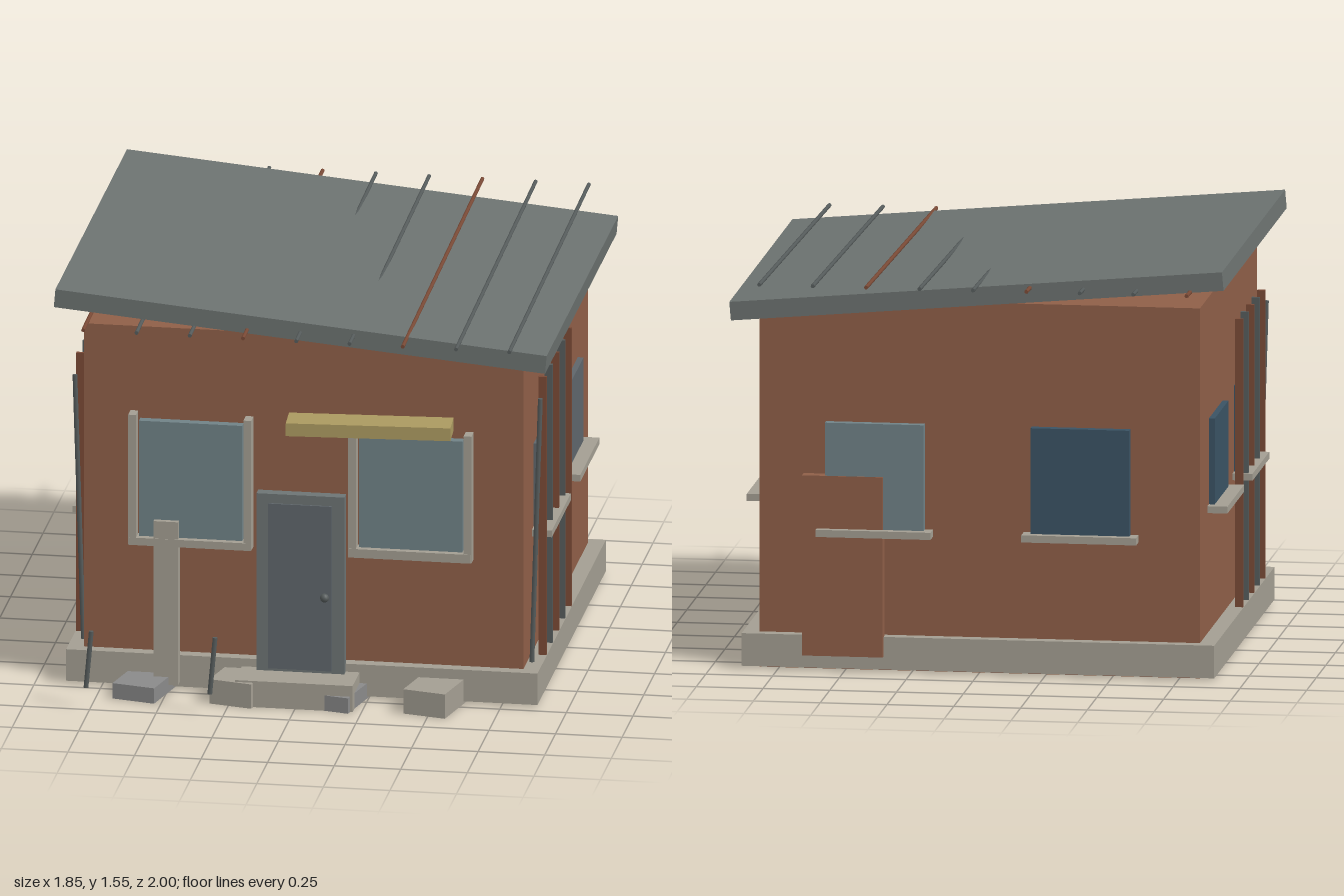
import * as THREE from 'three';

const mat = (color) => new THREE.MeshStandardMaterial({ color });
const M = {
  brick: mat(0x8f5f48), concrete: mat(0xa39e92), rubble: mat(0x8a8a8a), roof: mat(0x6c7270),
  frame: mat(0x6d7474), door: mat(0x5f666b), glass: mat(0x708287), darkGlass: mat(0x3a5364),
  steel: mat(0x565c5c), rust: mat(0x7a4a36), wood: mat(0xab9a60),
};

export function createModel() {
  const house = new THREE.Group();
  house.name = 'house';

  const add = (name, geometry, material, parent = house) => {
    const mesh = new THREE.Mesh(geometry, material);
    mesh.name = name;
    parent.add(mesh);
    return mesh;
  };
  // Box given by its extents along each axis
  const box = (name, material, [x0, x1], [y0, y1], [z0, z1], parent) => {
    const mesh = add(name, new THREE.BoxGeometry(x1 - x0, y1 - y0, z1 - z0), material, parent);
    mesh.position.set((x0 + x1) / 2, (y0 + y1) / 2, (z0 + z1) / 2);
    return mesh;
  };
  // Round rod between two points
  const rod = (name, material, a, b, radius, parent) => {
    const from = new THREE.Vector3(...a), to = new THREE.Vector3(...b);
    const dir = to.clone().sub(from);
    const mesh = add(name, new THREE.CylinderGeometry(radius, radius, dir.length(), 8), material, parent);
    mesh.position.copy(from).lerp(to, 0.5);
    mesh.quaternion.setFromUnitVectors(new THREE.Vector3(0, 1, 0), dir.normalize());
    return mesh;
  };
  const group = (name) => {
    const g = new THREE.Group();
    g.name = name;
    house.add(g);
    return g;
  };

  // Shell
  box('walls', M.brick, [-0.825, 0.825], [0, 1.396], [-0.822, 0.665]);
  box('foundation', M.concrete, [-0.885, 0.885], [0.01, 0.133], [-0.867, 0.71]);
  const roof = box('roof', M.roof, [-0.926, 0.926], [1.4, 1.47], [-0.906, 0.747]);
  roof.rotation.z = -0.0873;

  // Reinforcing rods running through the roof
  const rods = group('roofRods');
  for (let i = 0; i < 9; i++) {
    const x = -0.8 + i * 0.2;
    rod('roofRod', i % 3 ? M.steel : M.rust, [x, 1.475, -1], [x, 1.428, 0.84], 0.0075, rods);
  }

  // Front windows with three-sided trim
  const frontWindow = (name, x0, x1, top, sill) => {
    const g = group(name);
    const z = [0.7, 0.755];
    box('pane', M.glass, [x0, x1], [0.6, top], [0.7, 0.735], g);
    box('trimInner', M.concrete, [x0 - 0.037, x0 - 0.008], [sill, top + 0.028], z, g);
    box('trimOuter', M.concrete, [x1 + 0.008, x1 + 0.037], [sill, top + 0.028], z, g);
    box('trimBottom', M.concrete, [x0 - 0.033, x1 + 0.033], [sill, 0.599], [0.7, 0.757], g);
  };
  frontWindow('frontWindowRight', -0.608, -0.22, 1.05, 0.57);
  frontWindow('frontWindowLeft', 0.218, 0.607, 1.033, 0.565);

  // Door
  const door = group('door');
  box('doorFrame', M.frame, [-0.165, 0.165], [0.1, 0.793], [0.7, 0.743], door);
  box('doorPanel', M.door, [-0.12, 0.118], [0.113, 0.757], [0.7, 0.75], door);
  const knob = add('knob', new THREE.SphereGeometry(0.017, 12, 8), M.steel, door);
  knob.position.set(0.092, 0.4, 0.752);

  // Crooked wooden canopy board
  const canopy = add('canopy', new THREE.BoxGeometry(0.613, 0.05, 0.127), M.wood);
  canopy.position.set(0.265, 1.085, 0.772);
  canopy.rotation.y = 0.064;

  // Side windows and vertical bars, mirrored
  for (const s of [-1, 1]) {
    const side = s > 0 ? 'left' : 'right';
    const span = (a, b) => (s > 0 ? [a, b] : [-b, -a]);
    for (const zc of [0.249, -0.408]) {
      const g = group(side + 'Window');
      box('pane', s > 0 ? M.door : M.darkGlass, span(0.82, 0.847), [0.613, 0.937], [zc - 0.18, zc + 0.18], g);
      box('sill', M.concrete, span(0.823, 0.9), [0.587, 0.613], [zc - 0.22, zc + 0.22], g);
    }
    const bars = group(side + 'Bars');
    for (let i = 0; i < 5; i++) {
      const z = 0.485 - i * 0.144;
      box('bar', i % 2 ? M.steel : M.rust, span(0.853, 0.883), [0.125, 1.22], [z - 0.007, z + 0.007], bars);
    }
    rod('leaningBar', M.steel, [s * 0.842, 0.125, 0.575], [s * 0.874, 1.163, 0.575], 0.009, bars);
  }

  // Back windows
  for (const s of [-1, 1]) {
    const g = group('backWindow');
    const xc = s * 0.385;
    box('pane', s > 0 ? M.glass : M.darkGlass, [xc - 0.185, xc + 0.185], [0.54, 0.94], [-0.89, -0.857], g);
    box('sill', M.concrete, [xc - 0.215, xc + 0.215], [0.514, 0.541], [-0.922, -0.857], g);
  }

  // Boards leaning at the back and the front
  box('backBoard', M.brick, [0.353, 0.655], [0.06, 0.74], [-0.894, -0.848]);
  box('frontPost', M.concrete, [-0.55, -0.457], [0.03, 0.667], [0.714, 0.755]);

  // Doorstep and loose blocks
  box('doorstep', M.concrete, [-0.225, 0.217], [0, 0.102], [0.68, 0.873]);
  for (let i = 0; i < 4; i++) {
    const h = i % 2 ? 0.095 : 0.06;
    const block = add('looseBlock', new THREE.BoxGeometry(0.166, h, 0.22), M.rubble);
    if (i % 2) block.material = M.concrete;
    block.position.set(-0.582 + i * 0.364, h / 2, 0.768);
    block.rotation.y = -0.22;
  }

  // Short stray rods in front
  for (const x of [-0.755, -0.29]) {
    rod('strayRod', M.steel, [x - 0.01, 0.083, 0.99], [x + 0.01, 0.304, 0.99], 0.009);
  }

  return house;
}
